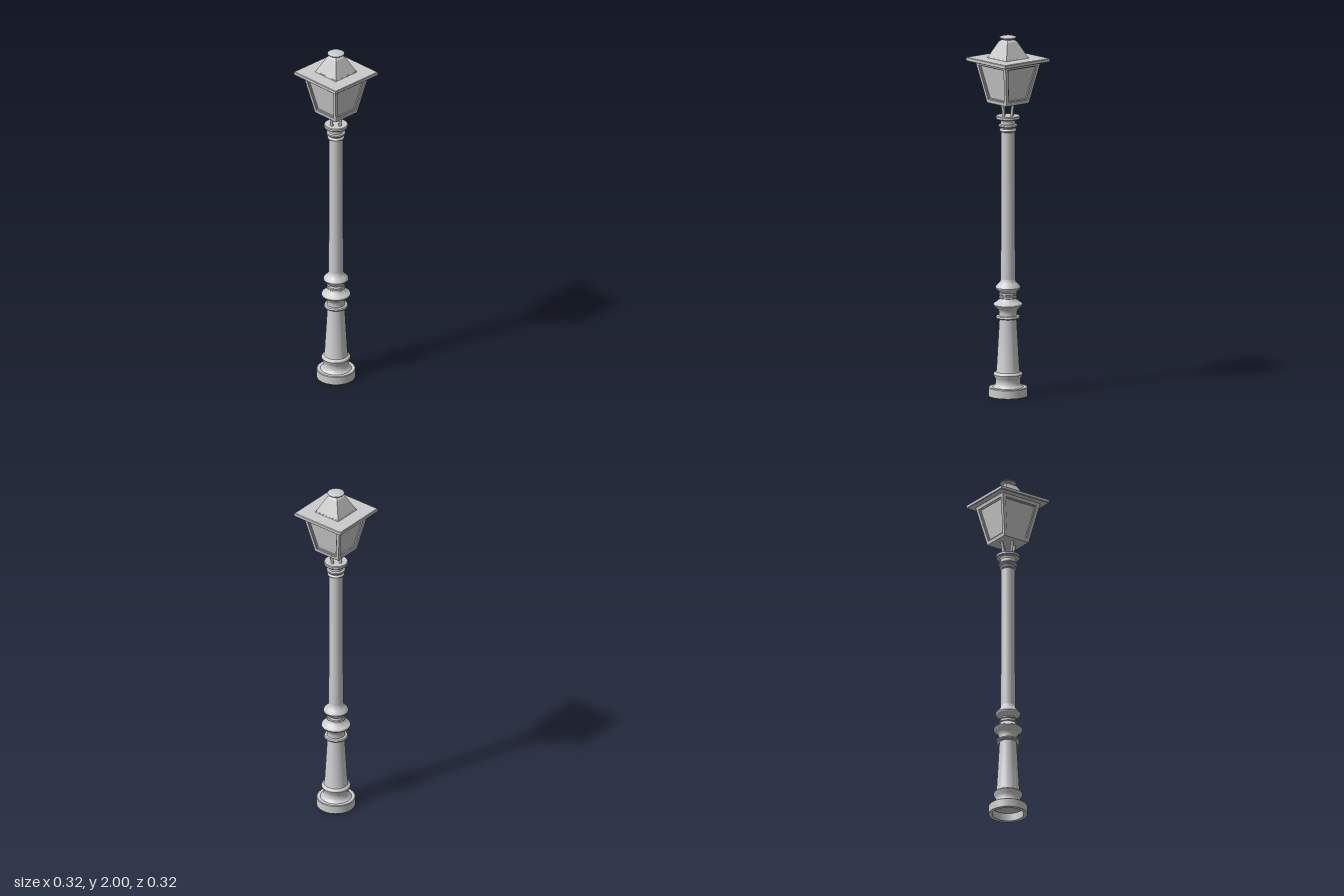
import * as THREE from 'three';
import { toCreasedNormals } from 'three/addons/utils/BufferGeometryUtils.js';

const material = new THREE.MeshStandardMaterial({ color: 0xcccccc });

function part(name, geometry, parent) {
  const mesh = new THREE.Mesh(geometry, material);
  mesh.name = name;
  parent.add(mesh);
  return mesh;
}

// Turned part from [radius, height] pairs listed from bottom to top
function turned(name, profile, parent) {
  const points = profile.map(([r, y]) => new THREE.Vector2(r, y));
  return part(name, toCreasedNormals(new THREE.LatheGeometry(points, 40), 0.5), parent);
}

// Square tapered block between two heights, given half widths
function taperedBlock(name, bottom, top, y0, y1, parent) {
  const geometry = new THREE.CylinderGeometry(top * Math.SQRT2, bottom * Math.SQRT2, y1 - y0, 4);
  geometry.rotateY(Math.PI / 4).translate(0, (y0 + y1) / 2, 0);
  return part(name, toCreasedNormals(geometry, 0.3), parent);
}

// Trapezoid outline: half width at any height runs linearly from bottom to top
function trapezoid(target, b, t, s0, s1) {
  target.moveTo(-b, s0);
  target.lineTo(b, s0);
  target.lineTo(t, s1);
  target.lineTo(-t, s1);
  target.closePath();
  return target;
}

function trapezoidRing(outer, inner, depth) {
  const shape = trapezoid(new THREE.Shape(), ...outer);
  shape.holes.push(trapezoid(new THREE.Path(), ...inner));
  return new THREE.ExtrudeGeometry(shape, { depth, bevelEnabled: false }).translate(0, 0, -depth);
}

export function createModel() {
  const lamp = new THREE.Group();
  lamp.name = 'streetLamp';

  // Hollow foot, flared pedestal and stacked mouldings
  turned('pedestal', [
    [0, 0.044], [0.085, 0.044], [0.085, 0], [0.106, 0], [0.106, 0.046], [0.103, 0.05],
    [0.085, 0.05], [0.074, 0.058], [0.068, 0.07], [0.067, 0.085], [0.07, 0.1],
    [0.078, 0.112], [0.08, 0.12], [0.076, 0.128], [0.066, 0.134], [0.063, 0.145],
    [0.047, 0.428], [0.062, 0.43], [0.066, 0.436], [0.062, 0.444], [0.05, 0.446],
    [0.049, 0.464], [0.053, 0.477], [0.063, 0.489], [0.077, 0.5], [0.08, 0.507],
    [0.077, 0.514], [0.06, 0.525], [0.048, 0.536], [0.045, 0.543],
    [0.049, 0.546], [0.049, 0.553], [0.044, 0.556], [0.044, 0.562], [0.049, 0.565],
    [0.046, 0.573], [0.052, 0.582], [0.066, 0.594], [0.069, 0.602], [0.066, 0.61],
    [0.052, 0.624], [0.043, 0.636], [0.04, 0.65],
  ], lamp);

  // Plain column
  turned('column', [[0.04, 0.645], [0.038, 1.47]], lamp);

  // Ringed collar carrying the lantern
  turned('collar', [
    [0.038, 1.465], [0.045, 1.468], [0.047, 1.474], [0.044, 1.48], [0.039, 1.484],
    [0.04, 1.49], [0.05, 1.494], [0.052, 1.499], [0.05, 1.505], [0.04, 1.509],
    [0.04, 1.523], [0.044, 1.53], [0.044, 1.536], [0.062, 1.536], [0.065, 1.54],
    [0.065, 1.551], [0.062, 1.555], [0, 1.555],
  ], lamp);

  // Four curved arms under the lantern
  for (let i = 0; i < 4; i++) {
    const curve = new THREE.CatmullRomCurve3([
      new THREE.Vector3(0.031, 1.55, 0),
      new THREE.Vector3(0.035, 1.59, 0),
      new THREE.Vector3(0.045, 1.63, 0),
    ]);
    part('supportArm', new THREE.TubeGeometry(curve, 8, 0.008, 10), lamp).rotation.y = i * Math.PI / 2;
  }

  // Lantern: bottom plate, recessed panes and four leaning frames
  const lantern = new THREE.Group();
  lantern.name = 'lantern';
  lamp.add(lantern);
  const y0 = 1.625, rise = 0.232, b = 0.081, t = 0.127;
  const lean = Math.atan2(t - b, rise), slant = Math.hypot(t - b, rise);
  taperedBlock('panes', b - 0.012, t - 0.012, y0 + 0.002, y0 + rise, lantern);
  taperedBlock('lanternFloor', b, b + 0.002, y0, y0 + 0.01, lantern);

  const half = (s, inset) => b + (t - b) * s / slant - inset;
  const outline = (inset, s0, s1) => [half(s0, inset), half(s1, inset), s0, s1];
  const frame = trapezoidRing(outline(0, 0, slant), outline(0.018, 0.02, slant - 0.021), 0.012);
  const bead = trapezoidRing(
    outline(0.018, 0.02, slant - 0.021), outline(0.024, 0.026, slant - 0.027), 0.006);
  bead.translate(0, 0, -0.006);
  for (let i = 0; i < 4; i++) {
    const side = new THREE.Group();
    side.name = 'lanternSide';
    side.rotation.y = i * Math.PI / 2;
    lantern.add(side);
    for (const [name, geometry] of [['windowFrame', frame], ['windowBead', bead]]) {
      const mesh = part(name, geometry, side);
      mesh.position.set(0, y0, b);
      mesh.rotation.x = lean;
    }
  }

  // Flat roof slab with softened edges
  taperedBlock('roofEdgeBottom', 0.159, 0.162, 1.854, 1.857, lantern);
  taperedBlock('roofSlab', 0.162, 0.162, 1.857, 1.872, lantern);
  taperedBlock('roofEdgeTop', 0.162, 0.159, 1.872, 1.875, lantern);

  // Chimney with a small foot and a domed cap
  taperedBlock('chimneyFoot', 0.082, 0.079, 1.875, 1.879, lantern);
  taperedBlock('chimney', 0.078, 0.036, 1.879, 1.966, lantern);
  taperedBlock('chimneyTop', 0.036, 0.024, 1.966, 1.976, lantern);
  turned('cap', [
    [0.024, 1.972], [0.024, 1.983], [0.044, 1.985], [0.047, 1.988], [0.046, 1.991],
    [0.038, 1.995], [0.026, 1.998], [0.013, 1.9995], [0, 2],
  ], lantern);

  return lamp;
}
